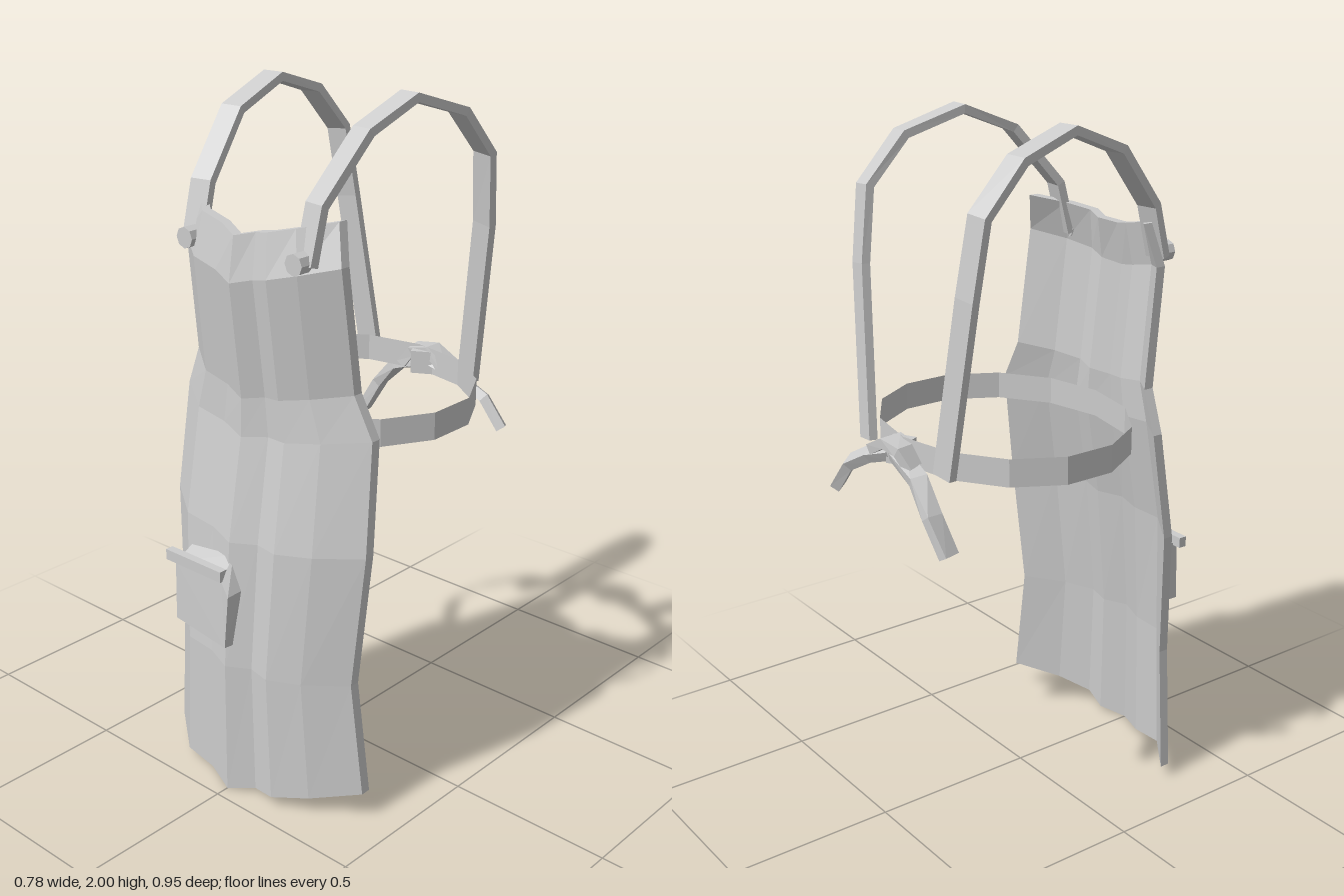
import * as THREE from 'three';
import { ConvexGeometry } from 'three/addons/geometries/ConvexGeometry.js';

const V = (x, y, z) => new THREE.Vector3(x, y, z);

// Closed flat-shaded solid through a stack of equal-length loops
function loft(loops) {
  const n = loops[0].length, last = (loops.length - 1) * n, idx = [];
  const quad = (a, b, c, d) => idx.push(a, b, c, a, c, d);
  for (let r = 0; r < last; r += n) {
    for (let i = 0; i < n; i++) {
      const j = (i + 1) % n;
      quad(r + i, r + j, r + n + j, r + n + i);
    }
  }
  for (let i = 0; i < n / 2 - 1; i++) {
    quad(n - 1 - i, n - 2 - i, i + 1, i);
    quad(last + i, last + i + 1, last + n - 2 - i, last + n - 1 - i);
  }
  const g = new THREE.BufferGeometry().setFromPoints(loops.flat());
  g.setIndex(idx);
  const flat = g.toNonIndexed();
  flat.computeVertexNormals();
  return flat;
}

// Flat strip following points, with a fixed width direction
function ribbon(points, widthDir, width, thick) {
  return loft(points.map((p, i) => {
    const t = points[Math.min(i + 1, points.length - 1)].clone()
      .sub(points[Math.max(i - 1, 0)]).normalize();
    const w = widthDir.clone().addScaledVector(t, -widthDir.dot(t)).normalize();
    const nrm = t.clone().cross(w);
    return [[-1, -1], [1, -1], [1, 1], [-1, 1]].map(([a, b]) =>
      p.clone().addScaledVector(w, a * width / 2).addScaledVector(nrm, b * thick / 2));
  }));
}

// Draped front panel: columns follow the folds
function panelGeometry() {
  const across = [-1, -0.6, -0.28, 0, 0.2, 0.41, 0.68, 1];
  const fold = [0, 0.7, 0.76, 1, 0.75, 0.87, 0.58, 0];
  // y at centre, rise left, rise right, half-width left, half-width right, edge z, centre z
  const rows = [
    [0.00, 0.04, 0.08, 0.35, 0.39, 0.305, 0.46],
    [0.41, 0.01, 0.01, 0.32, 0.35, 0.31, 0.455],
    [0.79, 0.02, 0.02, 0.355, 0.375, 0.28, 0.425],
    [1.09, 0.04, 0.04, 0.345, 0.355, 0.235, 0.37],
    [1.20, 0.05, 0.05, 0.29, 0.30, 0.245, 0.365],
    [1.53, 0.06, 0.07, 0.28, 0.29, 0.285, 0.40],
    [1.655, 0.055, 0.055, 0.255, 0.255, 0.255, 0.38],
  ];
  return loft(rows.map(([y, rl, rr, xl, xr, ze, zc]) => {
    const front = across.map((a, i) => V(
      a * (a < 0 ? xl : xr),
      y + Math.abs(a) * (a < 0 ? rl : rr),
      ze + (zc - ze) * fold[i]));
    const back = front.map(p => p.clone().add(V(0, 0, -0.03))).reverse();
    return [...front, ...back];
  }));
}

export function createModel() {
  const model = new THREE.Group();
  model.name = 'apron';
  const cloth = new THREE.MeshStandardMaterial({ color: 0xcccccc, side: THREE.DoubleSide });
  cloth.name = 'grey cloth';
  const add = (name, geometry) => {
    const m = new THREE.Mesh(geometry, cloth);
    m.name = name;
    model.add(m);
    return m;
  };

  add('frontPanel', panelGeometry());

  // Shoulder straps and their buttons
  for (const s of [1, -1]) {
    const side = s > 0 ? 'left' : 'right';
    const path = [
      [0.205, 1.60, 0.325], [0.207, 1.75, 0.285], [0.235, 1.92, 0.14], [0.245, 1.987, -0.03],
      [0.268, 1.93, -0.21], [0.27, 1.80, -0.33], [0.255, 1.59, -0.36], [0.19, 1.10, -0.395],
    ].map(([x, y, z]) => V(s * x, y, z));
    add(side + 'Strap', ribbon(path, V(1, 0, s * 0.15), 0.066, 0.025));

    const button = new THREE.CylinderGeometry(0.03, 0.03, 0.045, 8).toNonIndexed();
    button.computeVertexNormals();
    button.rotateX(Math.PI / 2);
    add(side + 'Button', button).position.set(s * 0.2, 1.61, 0.345);
  }

  // Waist band: thin open ring
  const band = new THREE.CylinderGeometry(1, 1, 0.08, 14, 1, true).toNonIndexed();
  band.scale(0.4, 1, 0.34);
  band.computeVertexNormals();
  add('waistBand', band).position.set(0, 1.12, -0.06);

  // Bow knot and hanging ties at the back
  add('knotLoop', ribbon(
    [V(-0.06, 1.09, -0.40), V(-0.03, 1.135, -0.415), V(0.03, 1.145, -0.42), V(0.10, 1.11, -0.42)],
    V(0.25, 0, 1), 0.07, 0.03));
  const knot = new THREE.BoxGeometry(0.07, 0.07, 0.05);
  knot.rotateY(0.5);
  add('knot', knot).position.set(0.02, 1.115, -0.395);
  add('rightTie', ribbon(
    [V(0.02, 1.11, -0.41), V(-0.10, 1.07, -0.42), V(-0.18, 0.99, -0.43), V(-0.235, 0.89, -0.415)],
    V(0.5, 0.5, 1), 0.05, 0.03));
  add('leftTie', ribbon(
    [V(0.04, 1.11, -0.41), V(0.13, 1.08, -0.425), V(0.22, 1.03, -0.44), V(0.28, 0.945, -0.45)],
    V(0.5, 0.5, 1), 0.05, 0.03));

  // Pocket pouch with its top trim
  add('pocket', new ConvexGeometry([
    V(-0.19, 0.68, 0.455), V(0, 0.68, 0.46), V(0.025, 0.64, 0.46), V(0.015, 0.48, 0.468), V(-0.19, 0.50, 0.46),
    V(-0.19, 0.71, 0.39), V(0.005, 0.75, 0.415), V(0.037, 0.65, 0.415), V(0.02, 0.48, 0.43), V(-0.19, 0.50, 0.40),
  ]));
  add('pocketTrim', new THREE.BoxGeometry(0.22, 0.032, 0.025)).position.set(-0.108, 0.697, 0.453);

  return model;
}
